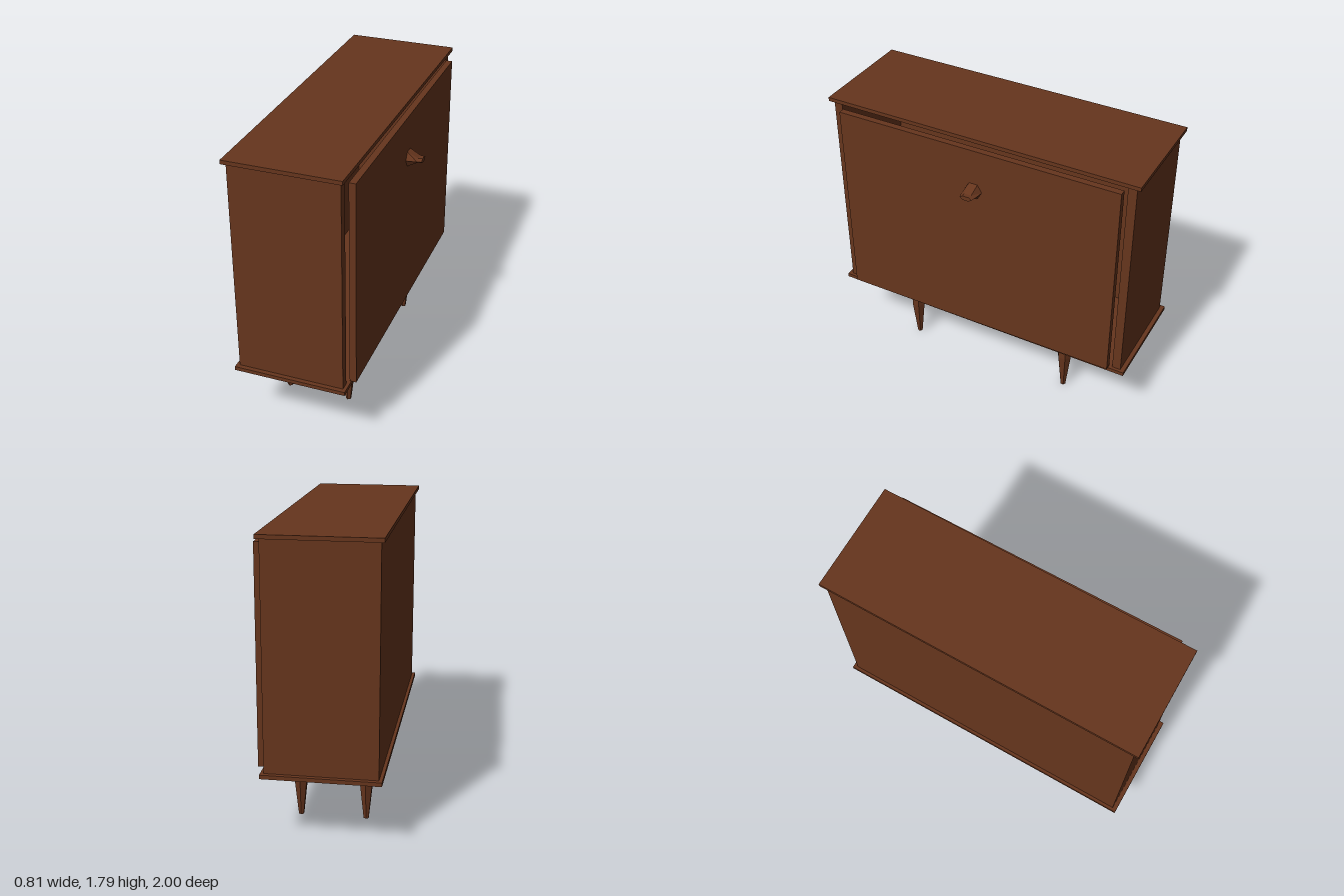
import * as THREE from 'three';

const wood = new THREE.MeshStandardMaterial({ color: 0x66351d, flatShading: true });

// Box given by its lower and upper limits on each axis
function board(name, [x0, x1], [y0, y1], [z0, z1]) {
  const mesh = new THREE.Mesh(new THREE.BoxGeometry(x1 - x0, y1 - y0, z1 - z0), wood);
  mesh.name = name;
  mesh.position.set((x0 + x1) / 2, (y0 + y1) / 2, (z0 + z1) / 2);
  return mesh;
}

// Six-sided leg: straight at the top, tapered to the foot
function leg(x, z) {
  const profile = [[0, 0], [0.017, 0], [0.045, 0.25], [0.045, 0.41], [0, 0.41]];
  const geometry = new THREE.LatheGeometry(profile.map(([r, y]) => new THREE.Vector2(r, y)), 6);
  const mesh = new THREE.Mesh(geometry, wood);
  mesh.name = 'leg';
  mesh.position.set(x, 0, z);
  return mesh;
}

// Six-sided knob that flattens into a thin grip
function knob() {
  const length = 0.092;
  const geometry = new THREE.CylinderGeometry(1, 1, length, 6, 2);
  const sections = [
    { out: 0, across: 0.055, high: 0.055 },
    { out: 0.066, across: 0.046, high: 0.016 },
    { out: length, across: 0.038, high: 0.016 },
  ];
  const p = geometry.attributes.position;
  for (let i = 0; i < p.count; i++) {
    const s = sections[Math.round((p.getY(i) / length + 0.5) * 2)];
    // turn the cylinder's axis to +x while resizing each section
    p.setXYZ(i, s.out, -p.getX(i) * s.high, p.getZ(i) * s.across);
  }
  geometry.computeVertexNormals();
  const mesh = new THREE.Mesh(geometry, wood);
  mesh.name = 'knob';
  mesh.position.set(0.02, 1.459, 0);
  return mesh;
}

export function createModel() {
  const cabinet = new THREE.Group();
  cabinet.name = 'cabinet';

  // Overhanging top and bottom
  cabinet.add(board('top', [-0.405, 0.285], [1.762, 1.786], [-1, 1]));
  cabinet.add(board('bottom', [-0.405, 0.285], [0.407, 0.431], [-1, 1]));

  // Hollow case behind the door
  cabinet.add(board('backPanel', [-0.385, -0.34], [0.431, 1.762], [-0.92, 0.92]));
  cabinet.add(board('leftSide', [-0.385, 0.265], [0.431, 1.762], [0.92, 0.973]));
  cabinet.add(board('rightSide', [-0.385, 0.265], [0.431, 1.762], [-0.973, -0.92]));

  // Door, very slightly ajar, with its knob
  const door = new THREE.Group();
  door.name = 'door';
  door.add(board('doorPanel', [-0.02, 0.02], [0.442, 1.73], [-0.903, 0.903]), knob());
  door.position.x = 0.296;
  door.rotation.y = 0.0045;
  cabinet.add(door);

  for (const x of [-0.26, 0.135]) {
    for (const z of [-0.545, 0.545]) cabinet.add(leg(x, z));
  }
  return cabinet;
}
